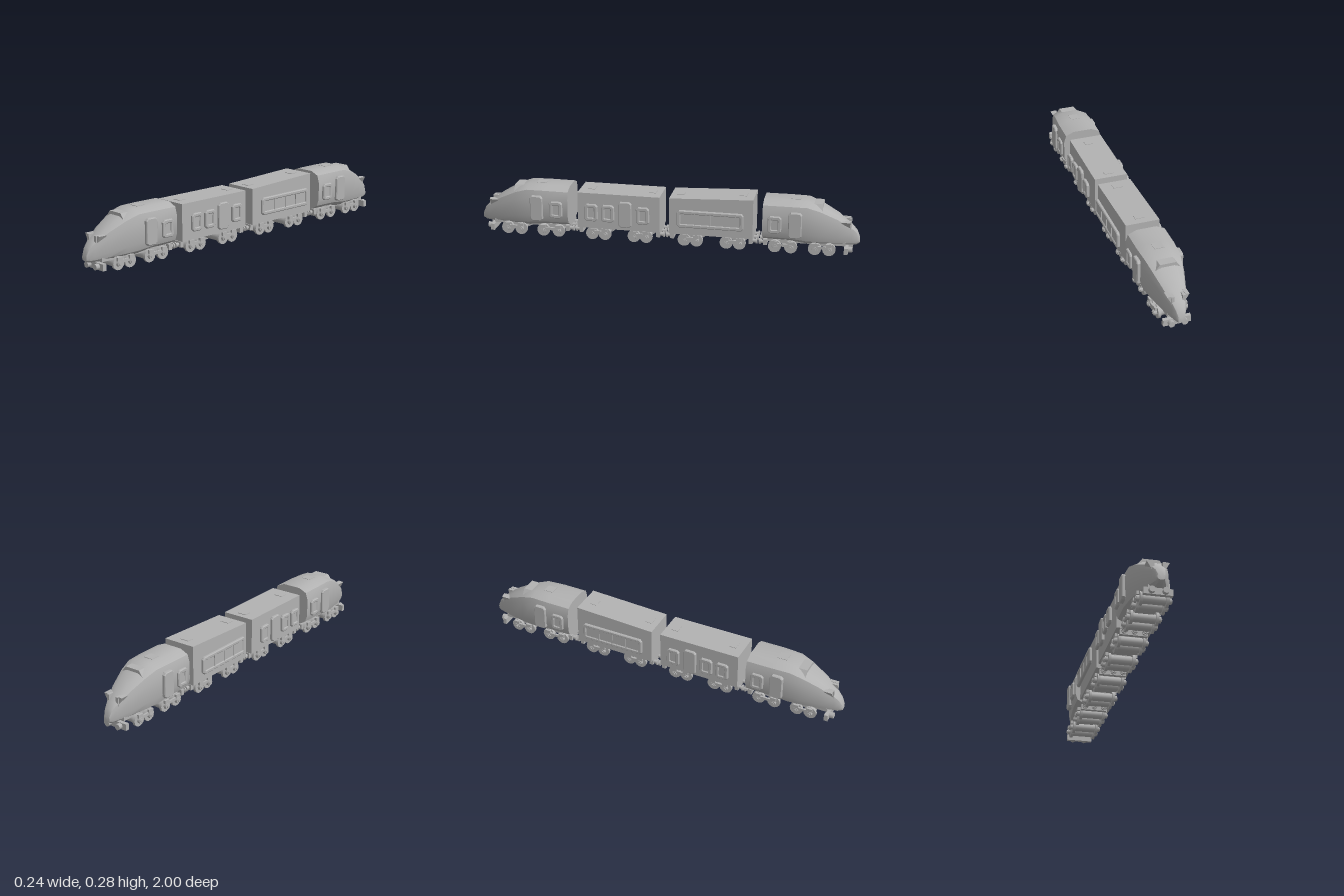
import * as THREE from 'three';
import { toCreasedNormals } from 'three/addons/utils/BufferGeometryUtils.js';

const grey = new THREE.MeshStandardMaterial({ color: 0xb2b2b2 });
grey.name = 'plain grey';

function add(parent, name, geometry, x = 0, y = 0, z = 0) {
  const mesh = new THREE.Mesh(geometry, grey);
  mesh.name = name;
  mesh.position.set(x, y, z);
  parent.add(mesh);
  return mesh;
}
const box = (parent, name, w, h, d, x, y, z) => add(parent, name, new THREE.BoxGeometry(w, h, d), x, y, z);

// Cylinder lying along x or z
function rod(parent, name, axis, r, length, sides, x, y, z) {
  const g = new THREE.CylinderGeometry(r, r, length, sides);
  if (axis === 'x') g.rotateZ(Math.PI / 2); else g.rotateX(Math.PI / 2);
  return add(parent, name, g, x, y, z);
}

// Rectangle with cut corners
function cutRect(w, h, c, Type = THREE.Shape) {
  const a = w / 2, b = h / 2;
  return new Type([[-a + c, -b], [a - c, -b], [a, -b + c], [a, b - c], [a - c, b], [-a + c, b], [-a, b - c], [-a, -b + c]]
    .map(([x, y]) => new THREE.Vector2(x, y)));
}

// Windows and doors, repeated on both sides
function sidePanel(parent, name, z0, z1, y0, y1, x, panes) {
  const w = z1 - z0, h = y1 - y0;
  for (const s of [-1, 1]) {
    const panel = new THREE.Group();
    panel.name = name;
    panel.position.set(s * x, (y0 + y1) / 2, (z0 + z1) / 2);
    panel.rotation.y = s * Math.PI / 2;
    parent.add(panel);
    const shape = cutRect(w - 0.008, h - 0.008, 0.009);
    const depth = 0.118 - x - 0.004;
    if (panes) {
      shape.holes.push(cutRect(w - 0.03, h - 0.03, 0.005, THREE.Path));
      box(panel, 'glass', w - 0.026, h - 0.026, 0.004, 0, 0, depth - 0.003);
      for (let i = 1; i < panes; i++) {
        box(panel, 'windowBar', 0.005, h - 0.028, 0.006, (i / panes - 0.5) * (w - 0.03), 0, depth);
      }
    }
    add(panel, 'frame', new THREE.ExtrudeGeometry(shape, {
      depth, bevelEnabled: true, bevelThickness: 0.004, bevelSize: 0.004, bevelSegments: 1
    }));
  }
}

// Two axles with wheels and outside frames
function bogie(parent, z, gap) {
  const g = new THREE.Group();
  g.name = 'bogie';
  g.position.z = z;
  parent.add(g);
  box(g, 'bogieBeam', 0.11, 0.02, 0.05, 0, 0.057, 0);
  for (const e of [-1, 1]) {
    const az = e * gap / 2;
    rod(g, 'axleDrum', 'x', 0.023, 0.12, 12, 0, 0.034, az);
    for (const s of [-1, 1]) {
      rod(g, 'wheel', 'x', 0.034, 0.014, 14, s * 0.063, 0.034, az);
      rod(g, 'axleBox', 'x', 0.016, 0.016, 8, s * 0.077, 0.033, az);
      rod(g, 'axleCap', 'x', 0.009, 0.005, 8, s * 0.087, 0.033, az);
      box(g, 'spring', 0.012, 0.018, 0.03, s * 0.077, 0.057, az);
    }
  }
  for (const s of [-1, 1]) box(g, 'sideFrame', 0.01, 0.014, gap, s * 0.076, 0.045, 0);
}

// Buffers and coupler at the end of a car, pointing towards dir
function carEnd(parent, z, dir) {
  box(parent, 'endBeam', 0.14, 0.03, 0.02, 0, 0.052, z - dir * 0.012);
  for (const x of [-0.052, 0, 0.052]) {
    rod(parent, x ? 'bufferStem' : 'couplerStem', 'z', 0.01, 0.02, 8, x, 0.05, z + dir * 0.004);
    rod(parent, x ? 'bufferHead' : 'couplerHead', 'z', 0.016, 0.008, 8, x, 0.05, z + dir * 0.017);
  }
}

// Lofted body from sections [z, halfWidth, top, bottom]
function loft(sections) {
  const half = [[0.45, 0], [0.88, 0.12], [1, 0.29], [1, 0.73], [0.89, 0.91], [0.48, 1]];
  const ring = [...half, ...half.map(([x, y]) => [-x, y]).reverse()];
  const n = ring.length, pos = [], idx = [];
  for (const [z, w, t, b] of sections) for (const [x, y] of ring) pos.push(x * w, b + y * (t - b), z);
  for (let i = 0; i < sections.length - 1; i++) {
    for (let j = 0; j < n; j++) {
      const a = i * n + j, b = i * n + (j + 1) % n;
      idx.push(a, b, a + n, b, b + n, a + n);
    }
  }
  const last = (sections.length - 1) * n;
  for (let j = 1; j < n - 1; j++) idx.push(0, j + 1, j, last, last + j, last + j + 1);
  const g = new THREE.BufferGeometry();
  g.setAttribute('position', new THREE.Float32BufferAttribute(pos, 3));
  g.setIndex(idx);
  return toCreasedNormals(g, 0.6);
}

// Streamlined end car, nose towards +z
function powerCar() {
  const car = new THREE.Group();
  car.name = 'powerCar';
  add(car, 'body', loft([
    [0.51, 0.106, 0.279, 0.066], [0.64, 0.106, 0.28, 0.064], [0.735, 0.1, 0.279, 0.052], [0.8, 0.087, 0.255, 0.05],
    [0.89, 0.062, 0.206, 0.05], [0.96, 0.035, 0.152, 0.051], [0.985, 0.025, 0.125, 0.053], [1, 0.017, 0.09, 0.062]
  ]));
  box(car, 'roofHatch', 0.05, 0.004, 0.05, 0, 0.2795, 0.67);

  // Brow over the windscreen
  const brow = new THREE.Shape([[-0.073, 0.225], [-0.041, 0.268], [0.041, 0.268], [0.073, 0.225],
    [0.056, 0.23], [0.034, 0.252], [-0.034, 0.252], [-0.056, 0.23]].reverse().map(p => new THREE.Vector2(...p)));
  add(car, 'windscreenBrow', new THREE.ExtrudeGeometry(brow, { depth: 0.06, bevelEnabled: false }), 0, 0, 0.75);

  for (const s of [-1, 1]) {
    // Raised lamps on the nose
    box(car, 'noseLamp', 0.015, 0.05, 0.05, s * 0.028, 0.155, 0.93);
    const wedge = new THREE.Shape([[0, 0.182], [0.02, 0.18], [0, 0.145]].map(([x, y]) => new THREE.Vector2(s * x, y)));
    add(car, 'lampFairing', new THREE.ExtrudeGeometry(wedge, { depth: 0.045, bevelEnabled: false }), s * 0.035, 0, 0.905);
    // Front buffers
    rod(car, 'frontBuffer', 'z', 0.016, 0.022, 8, s * 0.033, 0.03, 0.955);
  }
  box(car, 'frontBeam', 0.14, 0.034, 0.02, 0, 0.03, 0.935);
  box(car, 'underframe', 0.09, 0.02, 0.4, 0, 0.06, 0.73);

  sidePanel(car, 'door', 0.643, 0.711, 0.1, 0.235, 0.1, 0);
  sidePanel(car, 'window', 0.538, 0.608, 0.12, 0.21, 0.1, 1);
  bogie(car, 0.813, 0.073);
  bogie(car, 0.613, 0.083);
  carEnd(car, 0.51, -1);
  return car;
}

// Box-shaped car between z 0.025 and 0.46; roof may rise towards the outer end
function middleCar(name, outerTop) {
  const car = new THREE.Group();
  car.name = name;
  const g = new THREE.BoxGeometry(0.176, 0.192, 0.435).translate(0, 0.166, 0.2425);
  const p = g.attributes.position;
  for (let i = 0; i < p.count; i++) if (p.getY(i) > 0.2 && p.getZ(i) > 0.3) p.setY(i, outerTop);
  g.computeVertexNormals();
  add(car, 'body', g);
  const slope = (outerTop - 0.262) / 0.435;
  for (const z of [0.075, 0.4]) {
    const hatch = box(car, 'roofHatch', 0.048, 0.005, 0.038, 0, 0.262 + slope * (z - 0.025), z);
    hatch.rotation.x = -Math.atan(slope);
  }
  bogie(car, 0.355, 0.068);
  bogie(car, 0.133, 0.065);
  carEnd(car, 0.46, 1);
  carEnd(car, 0.025, -1);
  return car;
}

export function createModel() {
  const train = new THREE.Group();
  train.name = 'train';

  const front = powerCar();
  const rear = powerCar();
  rear.rotation.y = Math.PI;

  const passenger = middleCar('passengerCar', 0.262);
  for (const z of [0.075, 0.26, 0.348]) sidePanel(passenger, 'window', z, z + 0.069, 0.118, 0.21, 0.105, 1);
  sidePanel(passenger, 'door', 0.168, 0.238, 0.095, 0.233, 0.105, 0);

  const dining = middleCar('diningCar', 0.28);
  sidePanel(dining, 'wideWindow', 0.07, 0.415, 0.118, 0.21, 0.105, 4);
  dining.rotation.y = Math.PI;

  train.add(front, passenger, dining, rear);
  return train;
}
